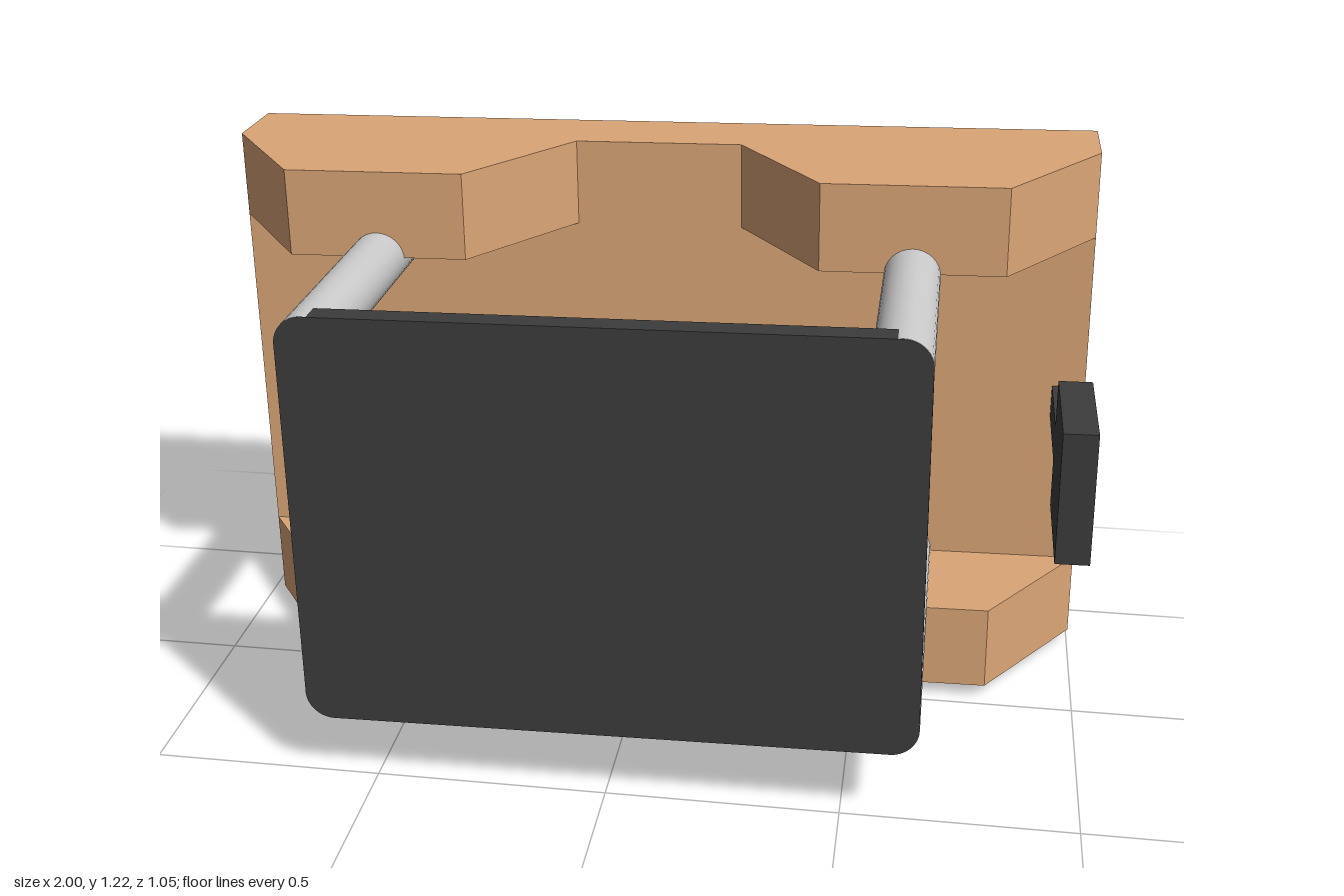
import * as THREE from 'three';

const WOOD = new THREE.MeshStandardMaterial({ color: 0xdca677 });
const DARK = new THREE.MeshStandardMaterial({ color: 0x3c3c3c });
const GREY = new THREE.MeshStandardMaterial({ color: 0xcccccc });

const W = 0.99, H = 0.595;           // half width and half height of the body
const BACK = -0.525, WALL = -0.33, LIP = -0.03, FRONT = 0.525;
const RAIL = 0.195;                  // thickness of top and bottom rails
const ROD_X = 0.59, ROD_Y = 0.395, ROD_R = 0.06;

function polygon(points) {
  return new THREE.Shape(points.map(([x, y]) => new THREE.Vector2(x, y)));
}

export function createModel() {
  const model = new THREE.Group();
  model.name = 'panelStand';
  // the whole body leans one degree
  model.rotation.z = THREE.MathUtils.degToRad(1);
  model.position.y = 0.612;

  const add = (name, geometry, material, x = 0, y = 0, z = 0) => {
    const mesh = new THREE.Mesh(geometry, material);
    mesh.name = name;
    mesh.position.set(x, y, z);
    model.add(mesh);
  };

  // back slab between the rails
  add('backSlab', new THREE.BoxGeometry(2 * W, 2 * (H - RAIL), WALL - BACK),
    WOOD, 0, 0, (BACK + WALL) / 2);

  // top and bottom rails, each with two tapered feet
  const railShape = polygon([
    [-W, -BACK], [-W, -WALL], [-0.79, -LIP], [-0.39, -LIP], [-0.19, -WALL],
    [0.19, -WALL], [0.39, -LIP], [0.79, -LIP], [W, -WALL], [W, -BACK],
  ]);
  const rail = new THREE.ExtrudeGeometry(railShape, { depth: RAIL, bevelEnabled: false });
  rail.rotateX(-Math.PI / 2);
  add('topRail', rail, WOOD, 0, H - RAIL, 0);
  add('bottomRail', rail, WOOD, 0, -H, 0);

  // front panel with rounded corners
  const panelShape = new THREE.Shape();
  panelShape.absarc(ROD_X, ROD_Y, ROD_R, 0, Math.PI / 2);
  panelShape.absarc(-ROD_X, ROD_Y, ROD_R, Math.PI / 2, Math.PI);
  panelShape.absarc(-ROD_X, -ROD_Y, ROD_R, Math.PI, 1.5 * Math.PI);
  panelShape.absarc(ROD_X, -ROD_Y, ROD_R, 1.5 * Math.PI, 2 * Math.PI);
  panelShape.closePath();
  add('frontPanel', new THREE.ExtrudeGeometry(panelShape,
    { depth: 0.055, bevelEnabled: false, curveSegments: 8 }), DARK, 0, 0, FRONT - 0.055);

  // four rods, wrapping the panel corners
  const rodEnd = FRONT - 0.001;
  const rod = new THREE.CylinderGeometry(ROD_R + 0.001, ROD_R + 0.001, rodEnd - WALL, 32);
  rod.rotateX(Math.PI / 2);
  for (const sx of [-1, 1]) {
    for (const sy of [-1, 1]) {
      add('rod', rod, GREY, sx * ROD_X, sy * ROD_Y, (WALL + rodEnd) / 2);
    }
  }

  // T-shaped side bracket, flush with the left side of the body
  const teeShape = polygon([
    [-0.22, -0.149], [0.08, -0.149], [0.08, -0.039], [-WALL, -0.039],
    [-WALL, 0.039], [0.08, 0.039], [0.08, 0.149], [-0.22, 0.149],
  ]);
  const tee = new THREE.ExtrudeGeometry(teeShape, { depth: 0.074, bevelEnabled: false });
  tee.rotateY(Math.PI / 2);
  add('sideBracket', tee, DARK, W - 0.075, 0, 0);
  const teeFace = new THREE.ShapeGeometry(teeShape);
  teeFace.rotateY(Math.PI / 2);
  add('sideBracketFace', teeFace, WOOD, W, 0, 0);

  const root = new THREE.Group();
  root.add(model);
  return root;
}
